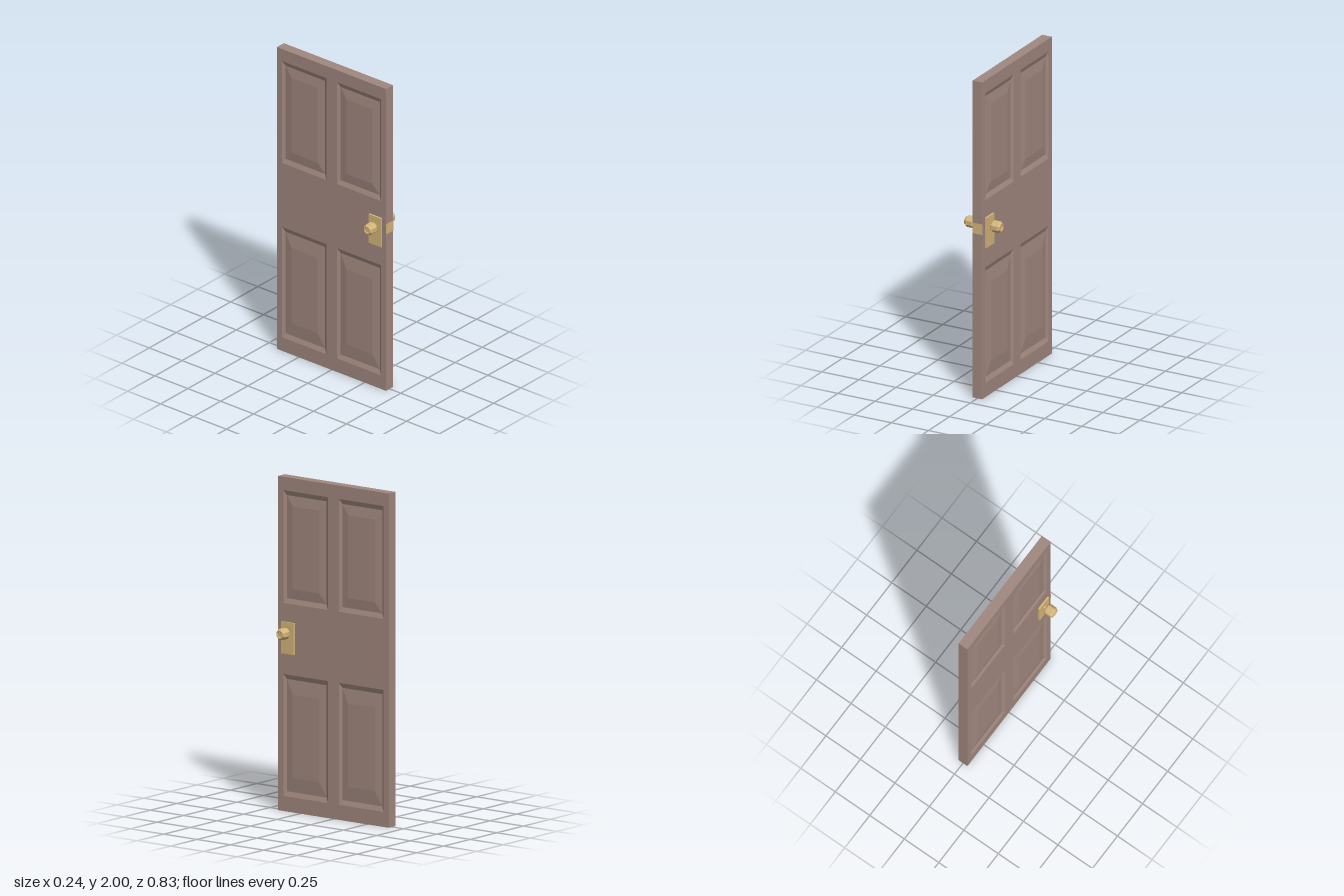
import * as THREE from 'three';

const HALF = 0.032; // half the door thickness
const wood = new THREE.MeshStandardMaterial({ color: 0xa1887f, flatShading: true });
const brass = new THREE.MeshStandardMaterial({ color: 0xd6b67a, flatShading: true });

function add(parent, name, geometry, material, x = 0, y = 0, z = 0) {
  const mesh = new THREE.Mesh(geometry, material);
  mesh.name = name;
  mesh.position.set(x, y, z);
  parent.add(mesh);
  return mesh;
}

// Openings as [zMin, zMax, yMin, yMax, vertical margin of the raised field]
const panels = [];
for (const [z0, z1] of [[0.042, 0.376], [-0.376, -0.04]]) {
  panels.push([z0, z1, 1.245, 1.92, 0.09], [z0, z1, 0.09, 0.82, 0.115]);
}

// Stiles and rails: one slab with four openings
function frameGeometry() {
  const rect = (Type, a, b, c, d) => {
    const path = new Type();
    path.moveTo(a, c);
    path.lineTo(b, c);
    path.lineTo(b, d);
    path.lineTo(a, d);
    path.closePath();
    return path;
  };
  const shape = rect(THREE.Shape, -0.415, 0.415, 0, 2);
  for (const [z0, z1, y0, y1] of panels) shape.holes.push(rect(THREE.Path, z0, z1, y0, y1));
  return new THREE.ExtrudeGeometry(shape, { depth: 2 * HALF, bevelEnabled: false })
    .translate(0, 0, -HALF)
    .rotateY(-Math.PI / 2);
}

// Sloped moulding, groove and raised field, as nested rectangles
function panelGeometry([z0, z1, y0, y1, fieldMargin], side) {
  const rings = [[0, 0, HALF], [0.018, 0.029, 0.021], [0.068, fieldMargin, 0.029]];
  const points = [];
  for (const [dz, dy, x] of rings) {
    points.push(
      side * x, y0 + dy, z0 + dz, side * x, y0 + dy, z1 - dz,
      side * x, y1 - dy, z1 - dz, side * x, y1 - dy, z0 + dz);
  }
  const index = [];
  const quad = (a, b, c, d) =>
    side < 0 ? index.push(a, b, c, a, c, d) : index.push(a, c, b, a, d, c);
  for (let r = 0; r < rings.length - 1; r++) {
    for (let i = 0; i < 4; i++) {
      const j = (i + 1) % 4;
      quad(r * 4 + i, r * 4 + j, r * 4 + 4 + j, r * 4 + 4 + i);
    }
  }
  quad(8, 9, 10, 11);
  const indexed = new THREE.BufferGeometry();
  indexed.setAttribute('position', new THREE.Float32BufferAttribute(points, 3));
  indexed.setIndex(index);
  const geometry = indexed.toNonIndexed();
  geometry.computeVertexNormals();
  return geometry;
}

// Handle: backplate, neck and faceted knob, pointing along +x
function createHandle(name) {
  const handle = new THREE.Group();
  handle.name = name;
  add(handle, 'backplate', new THREE.BoxGeometry(0.012, 0.19, 0.095), brass, HALF + 0.005, 1.04, 0.3375);
  const profile = [
    [0, 0.036], [0.011, 0.036], [0.011, 0.057], [0.029, 0.057], [0.035, 0.065],
    [0.035, 0.105], [0.026, 0.118], [0.02, 0.118], [0.016, 0.114], [0, 0.114],
  ].map(([r, h]) => new THREE.Vector2(r, h));
  const knob = new THREE.LatheGeometry(profile, 8, Math.PI / 8).rotateZ(-Math.PI / 2);
  add(handle, 'knob', knob, brass, 0, 1.073, 0.335);
  return handle;
}

export function createModel() {
  const door = new THREE.Group();
  door.name = 'door';
  add(door, 'frame', frameGeometry(), wood);
  for (const side of [1, -1]) {
    for (const panel of panels) add(door, 'raisedPanel', panelGeometry(panel, side), wood);
  }

  // Matching handles on both faces
  const leftHandle = createHandle('leftHandle');
  const rightHandle = createHandle('rightHandle');
  rightHandle.rotation.y = Math.PI;
  rightHandle.position.z = 0.3375 * 2; // turned about the plate's own axis
  door.add(leftHandle, rightHandle);

  // Latch plate on the closing edge
  add(door, 'latchPlate', new THREE.BoxGeometry(2 * HALF, 0.065, 0.004), brass, 0, 1.07, 0.4145);
  return door;
}
